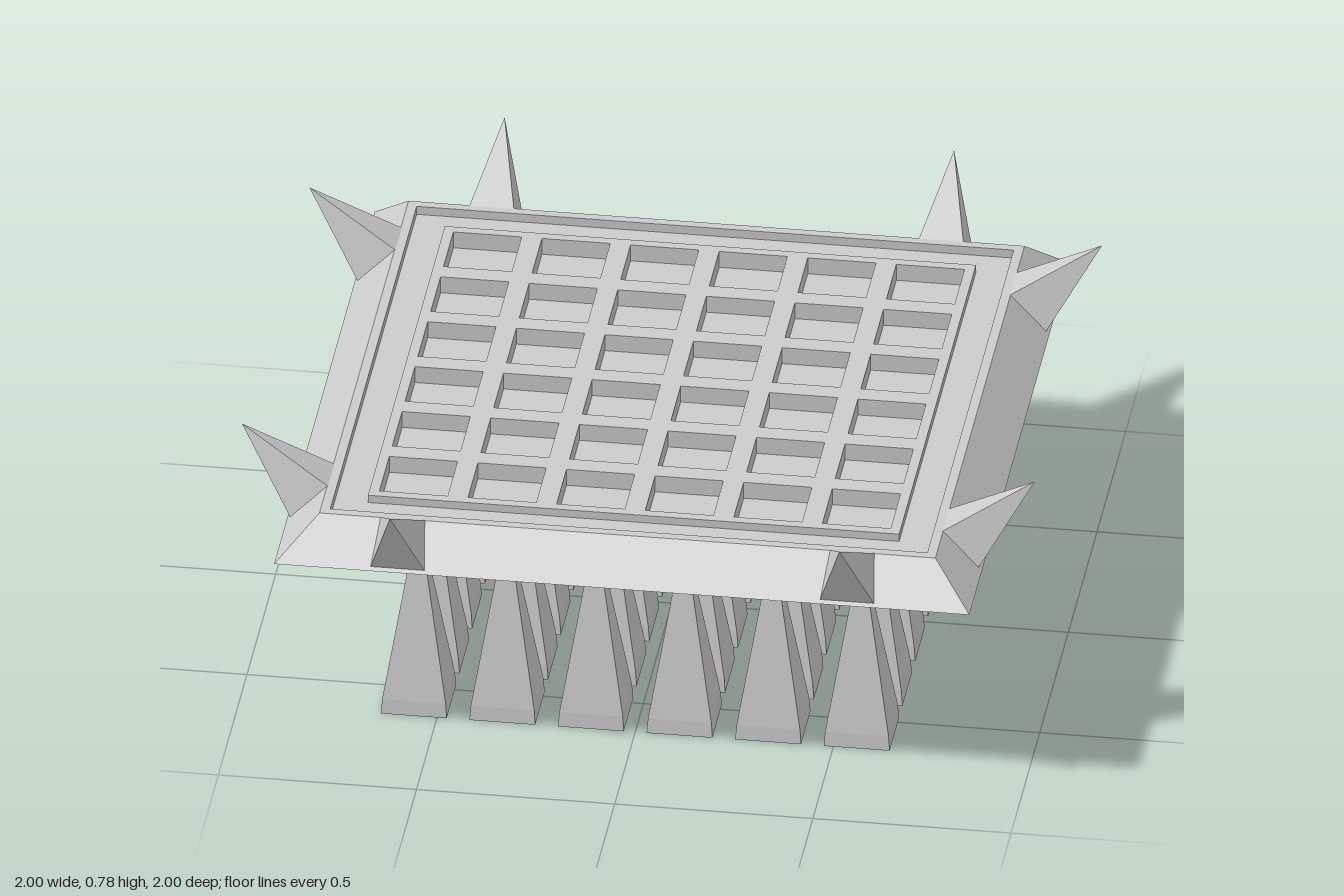
import * as THREE from 'three';
import { ConvexGeometry } from 'three/addons/geometries/ConvexGeometry.js';

const material = new THREE.MeshStandardMaterial({ color: 0xcccccc, flatShading: true });

function add(parent, geometry, name, x = 0, y = 0, z = 0) {
  const mesh = new THREE.Mesh(geometry, material);
  mesh.name = name;
  mesh.position.set(x, y, z);
  parent.add(mesh);
  return mesh;
}

// Square "turned" solid: profile pairs are [half width, height], from bottom to top
function squareLathe(profile) {
  const points = profile.map(([r, y]) => new THREE.Vector2(r * Math.SQRT2, y));
  return new THREE.LatheGeometry(points, 4).rotateY(Math.PI / 4);
}

export function createModel() {
  const model = new THREE.Group();
  model.name = 'spikedPlate';

  const cells = [];
  for (let i = 0; i < 6; i++) cells.push((i - 2.5) * 0.2235);

  // Tray with sloping sides, thin rim, groove and sunken floor
  add(model, squareLathe([
    [0, 0.55], [0.877, 0.55], [0.777, 0.648], [0.753, 0.648],
    [0.753, 0.625], [0.668, 0.625], [0.668, 0.6], [0, 0.6],
  ]), 'tray');

  // Grid panel with a square pocket for each cell
  const h = 0.67, p = 0.086;
  const panel = new THREE.Shape([[-h, -h], [h, -h], [h, h], [-h, h]].map(([x, y]) => new THREE.Vector2(x, y)));
  for (const x of cells) {
    for (const y of cells) {
      panel.holes.push(new THREE.Path([
        new THREE.Vector2(x - p, y - p), new THREE.Vector2(x - p, y + p),
        new THREE.Vector2(x + p, y + p), new THREE.Vector2(x + p, y - p),
      ]));
    }
  }
  const panelGeometry = new THREE.ExtrudeGeometry(panel, { depth: 0.046, bevelEnabled: false });
  panelGeometry.rotateX(-Math.PI / 2);
  add(model, panelGeometry, 'gridPanel', 0, 0.6, 0);

  // Tall square spikes beneath the tray, one under each pocket
  const spikes = new THREE.Group();
  spikes.name = 'spikes';
  const spikeGeometry = squareLathe([[0, 0], [0.083, 0], [0.08, 0.04], [0, 0.537]]);
  for (const x of cells) for (const z of cells) add(spikes, spikeGeometry, 'spike', x, 0, z);
  model.add(spikes);

  // Slanted horns rooted on the sloping sides, two per side
  const hornGeometry = new ConvexGeometry([
    new THREE.Vector3(-0.068, 0.557, 0.868), new THREE.Vector3(0.068, 0.557, 0.868),
    new THREE.Vector3(-0.056, 0.648, 0.775), new THREE.Vector3(0.056, 0.648, 0.775),
    new THREE.Vector3(0, 0.778, 1),
  ]);
  const sides = ['front', 'left', 'back', 'right'];
  sides.forEach((side, k) => {
    const horns = new THREE.Group();
    horns.name = side + 'Horns';
    const offset = k % 2 ? 0.588 : 0.567;
    for (const s of [-1, 1]) add(horns, hornGeometry, 'horn', s * offset, 0, 0);
    horns.rotation.y = k * Math.PI / 2;
    model.add(horns);
  });

  return model;
}
